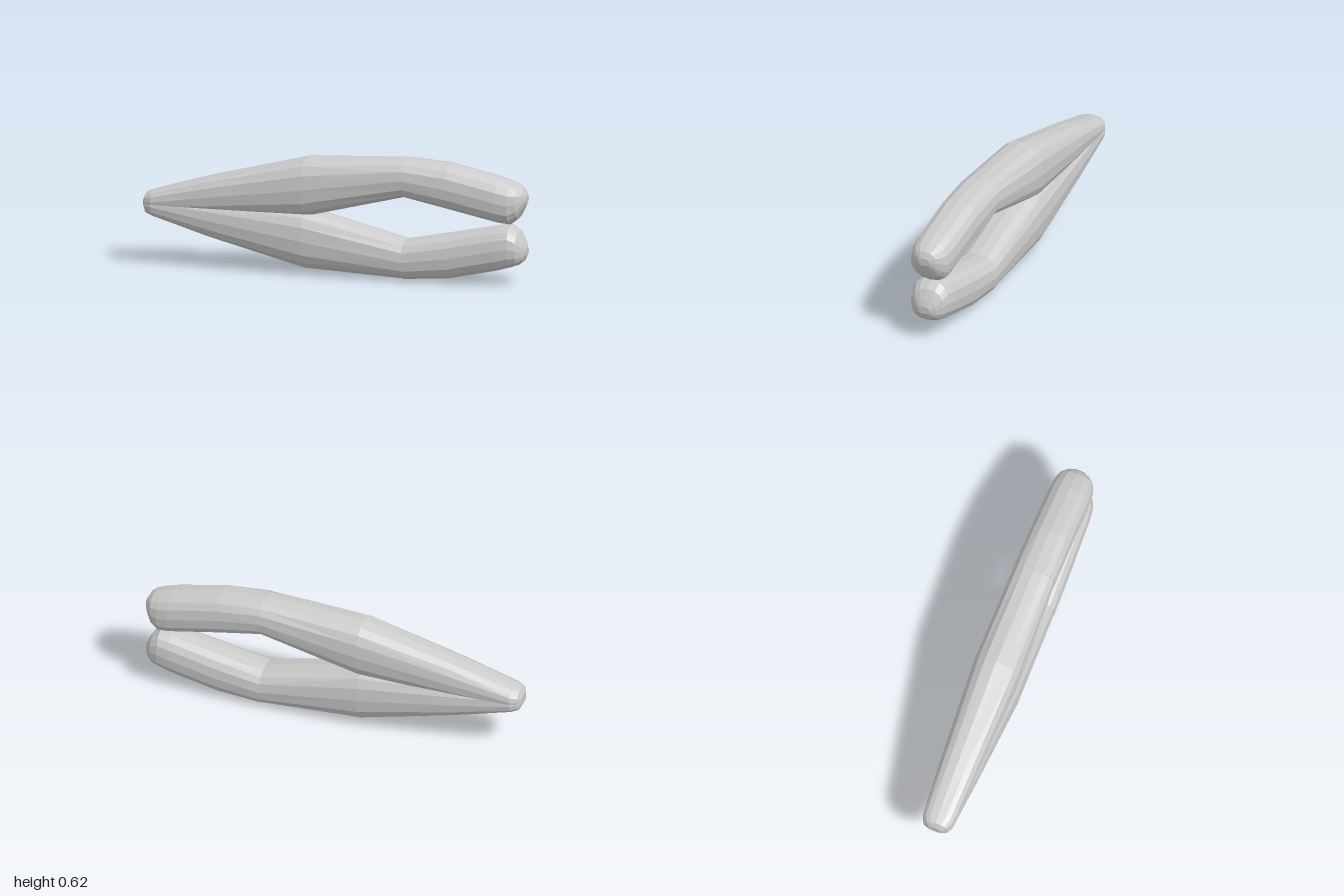
import * as THREE from 'three';

const SIDES = 16;
const MID = 0.31; // height of the plane between the two arms

// Cross-sections of the upper arm: [x, bottom, top, half width]
const SHAFT = [
  [-1.0, 0.295, 0.335, 0.035],
  [-0.985, 0.27, 0.365, 0.065],
  [-0.95, 0.265, 0.378, 0.082],
  [-0.65, 0.272, 0.468, 0.1],
  [-0.15, 0.288, 0.596, 0.125],
  [0.37, 0.42, 0.618, 0.113],
];
const END = [
  [0.37, 0.42, 0.62, 0.115],
  [0.6, 0.372, 0.605, 0.113],
  [0.86, 0.318, 0.548, 0.11],
  [0.92, 0.312, 0.53, 0.104],
  [0.96, 0.345, 0.515, 0.09],
  [0.985, 0.39, 0.495, 0.06],
  [1.0, 0.425, 0.465, 0.03],
];

// Rounded-square power keeps the sections fuller than an ellipse
const full = (v) => Math.sign(v) * Math.pow(Math.abs(v), 0.8);

// Closed loft through the sections; sign -1 gives the mirrored lower arm
function loft(sections, sign) {
  const pos = [];
  const index = [];
  const tri = (a, b, c) => (sign > 0 ? index.push(a, b, c) : index.push(a, c, b));
  for (const [x, bottom, top, w] of sections) {
    const cy = (bottom + top) / 2;
    const h = (top - bottom) / 2;
    for (let j = 0; j < SIDES; j++) {
      const a = (j / SIDES) * Math.PI * 2;
      const y = cy + h * full(Math.cos(a));
      pos.push(x, MID + sign * (y - MID), w * full(Math.sin(a)));
    }
  }
  const last = (sections.length - 1) * SIDES;
  for (let i = 0; i < last; i += SIDES) {
    for (let j = 0; j < SIDES; j++) {
      const k = (j + 1) % SIDES;
      tri(i + j, i + k, i + SIDES + k);
      tri(i + j, i + SIDES + k, i + SIDES + j);
    }
  }
  // End caps
  for (let j = 1; j < SIDES - 1; j++) {
    tri(0, j + 1, j);
    tri(last, last + j, last + j + 1);
  }
  const geo = new THREE.BufferGeometry();
  geo.setAttribute('position', new THREE.Float32BufferAttribute(pos, 3));
  geo.setIndex(index);
  geo.computeVertexNormals();
  return geo;
}

export function createModel() {
  const model = new THREE.Group();
  model.name = 'tongs';
  const material = new THREE.MeshStandardMaterial({ color: 0xcccccc, flatShading: true });

  // Two mirrored arms, each a tapering shaft and a bent-in rounded end
  for (const [name, sign] of [['upperArm', 1], ['lowerArm', -1]]) {
    const arm = new THREE.Group();
    arm.name = name;
    for (const [part, sections] of [['Shaft', SHAFT], ['End', END]]) {
      const mesh = new THREE.Mesh(loft(sections, sign), material);
      mesh.name = name + part;
      arm.add(mesh);
    }
    model.add(arm);
  }
  return model;
}
